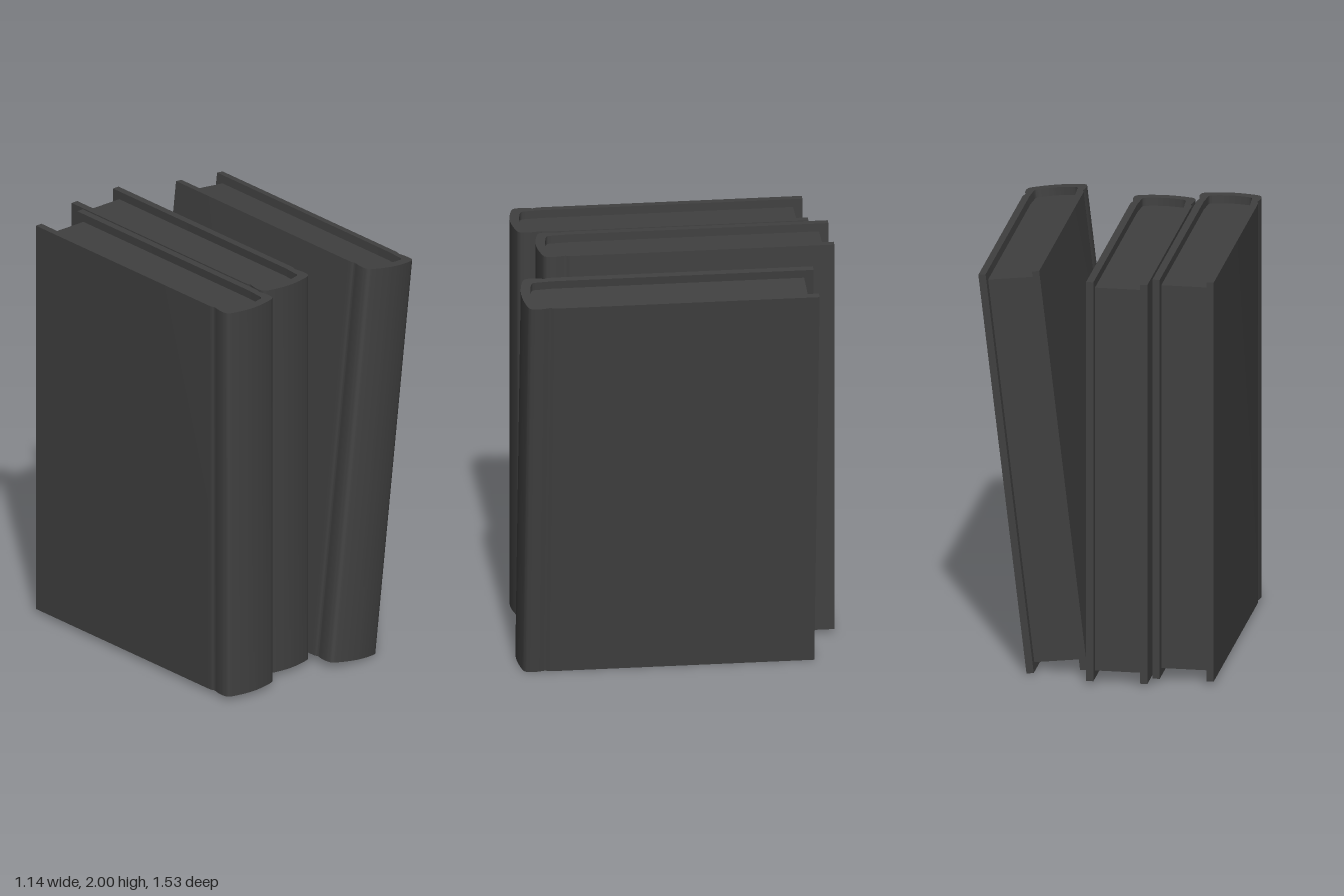
import * as THREE from 'three';
import { toCreasedNormals } from 'three/addons/utils/BufferGeometryUtils.js';

const HEIGHT = 1.98, DEPTH = 1.405, PAGE_DEPTH = 1.36, RECESS = 0.04;

// Right half of each outline as [x, distance behind the spine's tip].
const OUTER = [[0.147, 0.165], [0.145, 0.142], [0.139, 0.125], [0.143, 0.105], [0.147, 0.08],
  [0.147, 0.05], [0.138, 0.028], [0.115, 0.017], [0.06, 0.005], [0, 0]];
const INNER = [[0.112, 0.165], [0.106, 0.09], [0.102, 0.068], [0.088, 0.058], [0.045, 0.049], [0, 0.045]];

// Mirrors a half outline into a full run of points from right to left.
function fullRun(half) {
  const right = half.map(([x, d]) => new THREE.Vector2(x, d));
  const left = half.slice(0, -1).reverse().map(([x, d]) => new THREE.Vector2(-x, d));
  return [...right, ...left];
}

// Raises a plan outline (x, depth) to a solid standing on y = 0.
function raise(shape, height) {
  const geometry = new THREE.ExtrudeGeometry(shape, { depth: height, bevelEnabled: false, curveSegments: 3 });
  geometry.rotateX(-Math.PI / 2);
  return toCreasedNormals(geometry, 0.6);
}

// Case: two boards joined by a rounded spine with hinge grooves.
function coverGeometry() {
  const outer = fullRun(OUTER), inner = fullRun(INNER).reverse();
  const shape = new THREE.Shape();
  shape.moveTo(outer[0].x, DEPTH);
  shape.lineTo(outer[0].x, outer[0].y);
  shape.splineThru(outer.slice(1));
  shape.lineTo(-OUTER[0][0], DEPTH);
  shape.lineTo(inner[0].x, DEPTH);
  shape.lineTo(inner[0].x, inner[0].y);
  shape.splineThru(inner.slice(1));
  shape.lineTo(INNER[0][0], DEPTH);
  shape.closePath();
  return raise(shape, HEIGHT);
}

// Page block: fills the case, set in at the top, bottom and back.
function pagesGeometry() {
  const run = fullRun(INNER);
  const shape = new THREE.Shape();
  shape.moveTo(run[0].x, PAGE_DEPTH);
  shape.lineTo(run[0].x, run[0].y);
  shape.splineThru(run.slice(1));
  shape.lineTo(-run[0].x, PAGE_DEPTH);
  shape.closePath();
  return raise(shape, HEIGHT - 2 * RECESS).translate(0, RECESS, 0);
}

export function createModel() {
  const model = new THREE.Group();
  model.name = 'books';
  const material = new THREE.MeshStandardMaterial({ color: 0x404040 });
  const coverGeo = coverGeometry(), pagesGeo = pagesGeometry();

  // Two upright books and one leaning towards them.
  const books = [
    { name: 'rightBook', at: [-0.422, 0.02, 0.725], lean: 0 },
    { name: 'middleBook', at: [-0.119, 0.02, 0.635], lean: 0 },
    { name: 'leaningBook', at: [0.19, 0.017, 0.765], lean: -0.117 },
  ];
  for (const { name, at, lean } of books) {
    const book = new THREE.Group();
    book.name = name;
    const cover = new THREE.Mesh(coverGeo, material);
    cover.name = 'cover';
    const pages = new THREE.Mesh(pagesGeo, material);
    pages.name = 'pages';
    book.add(cover, pages);
    book.position.set(...at);
    book.rotation.z = lean;
    model.add(book);
  }
  return model;
}
